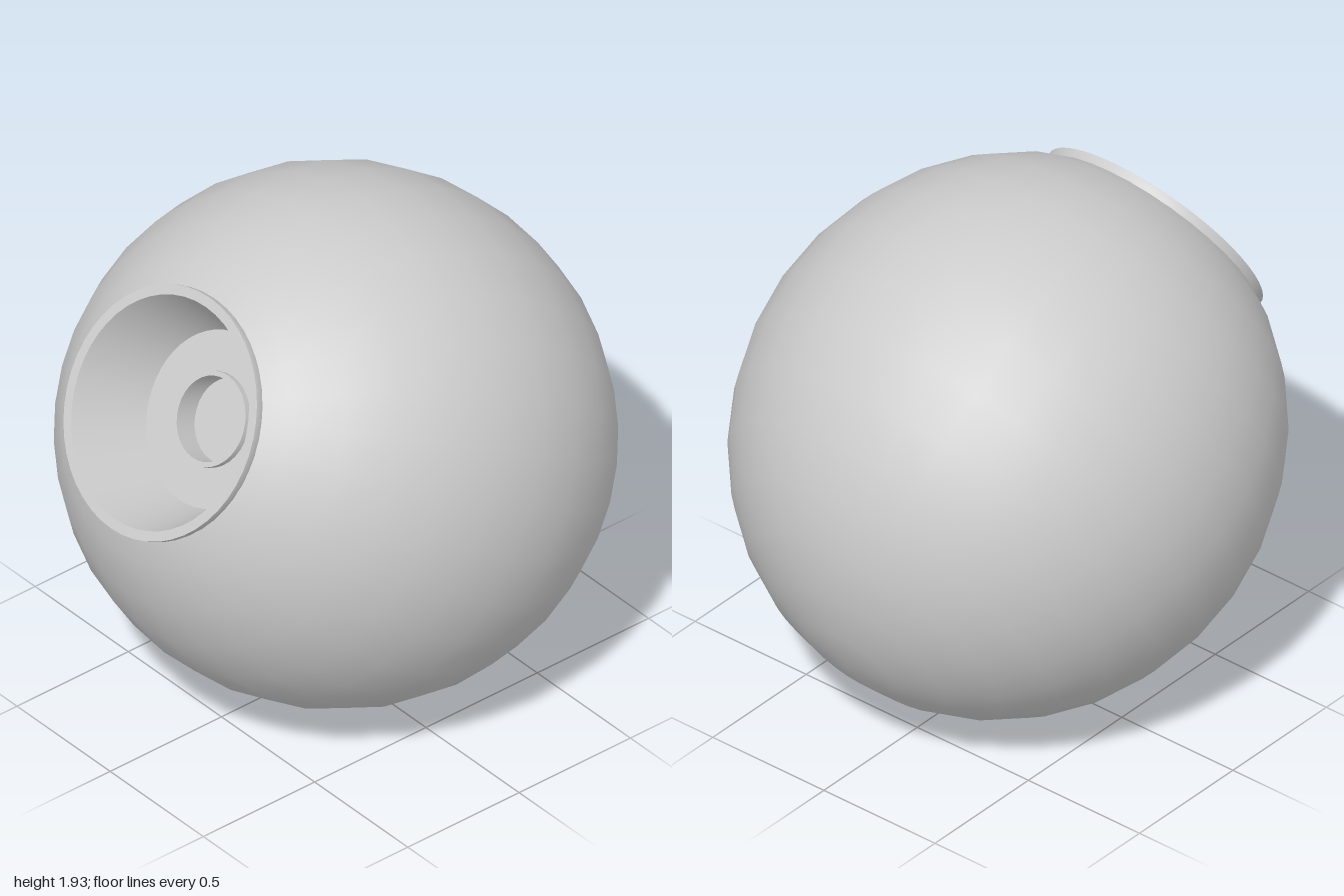
import * as THREE from 'three';
import { toCreasedNormals } from 'three/addons/utils/BufferGeometryUtils.js';

const material = new THREE.MeshStandardMaterial({ color: 0xcccccc });

// Turned part from [radius, height] pairs, with sharp edges kept
function turned(name, profile, segments) {
  const points = profile.map(([r, h]) => new THREE.Vector2(r, h));
  const geometry = toCreasedNormals(new THREE.LatheGeometry(points, segments), 0.5);
  const mesh = new THREE.Mesh(geometry, material);
  mesh.name = name;
  return mesh;
}

export function createModel() {
  const model = new THREE.Group();
  model.name = 'hollowSocketBall';

  // Everything is turned around one axis, tilted up towards -x
  const body = new THREE.Group();
  body.name = 'tiltedBody';
  body.position.set(0.0145, 0.965, 0);
  body.rotation.z = Math.PI / 3;
  model.add(body);

  // Ball, slightly stretched along its axis and cut open at the top
  const radius = 0.952;
  const ball = [];
  for (let i = 0; i <= 13; i++) {
    const a = -Math.PI / 2 + (i * Math.PI) / 16;
    ball.push([i === 0 ? 0 : radius * Math.cos(a), Math.sin(a)]);
  }
  ball.push([0.44, 0.881]);
  body.add(turned('ballShell', ball, 32));

  // Raised rim around the opening
  body.add(turned('rim', [[0.436, 0.86], [0.446, 0.89], [0.446, 0.912], [0.41, 0.912]], 48));

  // Conical dish sunk into the ball
  body.add(turned('dish', [[0.41, 0.912], [0.311, 0.634], [0.168, 0.634]], 48));

  // Small collar on the dish floor with a recessed centre
  body.add(turned('collar', [[0.168, 0.634], [0.168, 0.658], [0.15, 0.658], [0.15, 0.565]], 32));
  body.add(turned('recessFloor', [[0.15, 0.565], [0, 0.565]], 32));

  return model;
}
